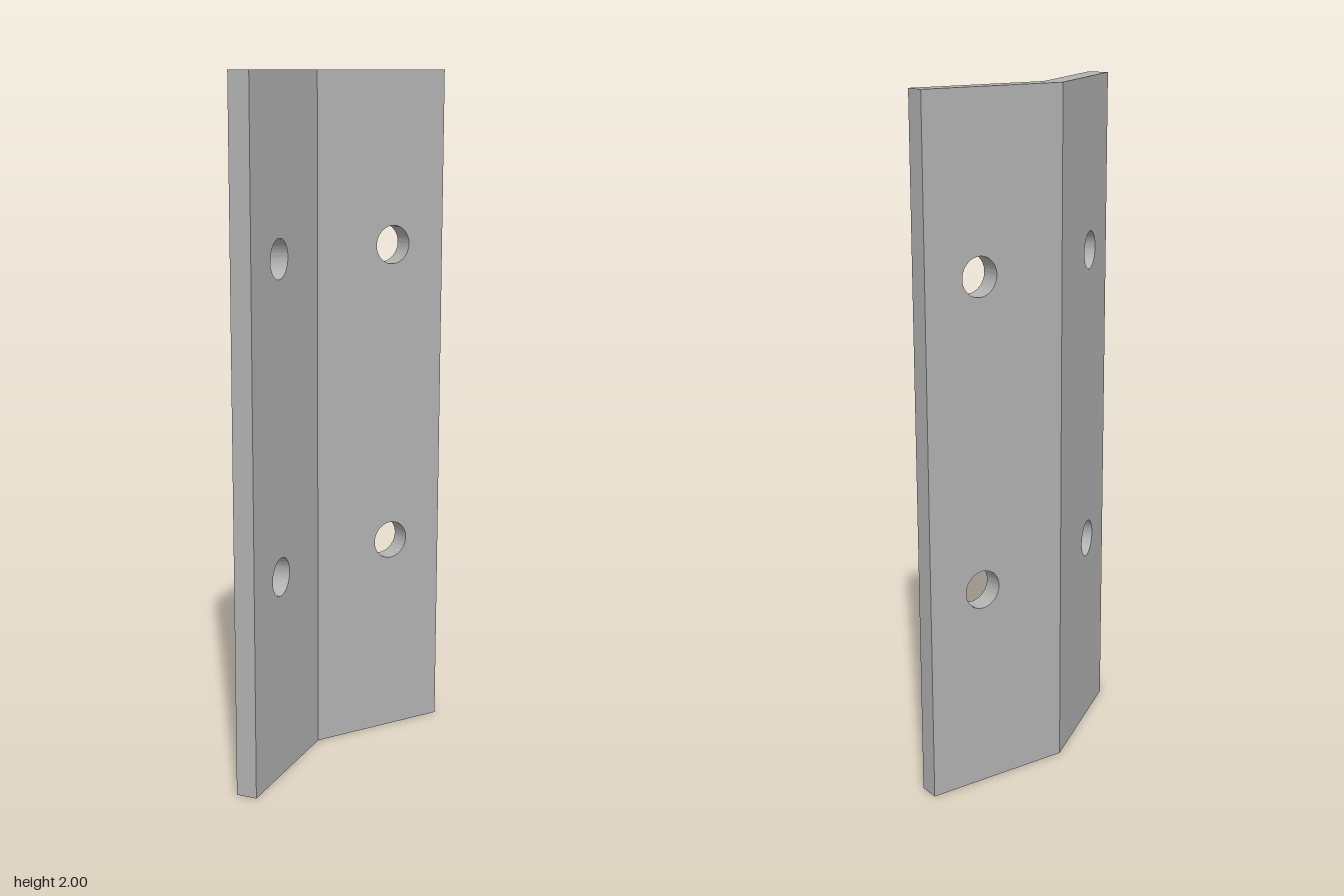
import * as THREE from 'three';
import { toCreasedNormals } from 'three/addons/utils/BufferGeometryUtils.js';

const ANGLE = Math.PI / 10; // tilt of each wing
const THICK = 0.061, LENGTH = 0.43, HEIGHT = 2;
const HOLE_R = 0.056, HOLE_U = 0.256, HOLE_Y = [0.6, 1.5];
const INNER_Z = -0.036; // inside of the bend

// One drilled wing, mitred at the bend; side is +1 (left) or -1 (right)
function wingGeometry(side) {
  const end = side * LENGTH;
  const shape = new THREE.Shape();
  shape.moveTo(0, 0).lineTo(end, 0).lineTo(end, HEIGHT).lineTo(0, HEIGHT).closePath();
  for (const y of HOLE_Y) {
    shape.holes.push(new THREE.Path().absarc(side * HOLE_U, y, HOLE_R, 0, Math.PI * 2));
  }
  const geo = new THREE.ExtrudeGeometry(shape, { depth: THICK, bevelEnabled: false, curveSegments: 40 });
  geo.translate(0, 0, -THICK);

  // Leave out the joint face, and stretch the back edge to the mitre
  const p = geo.attributes.position;
  const kept = [];
  for (let i = 0; i < p.count; i += 3) {
    const corners = [i, i + 1, i + 2];
    if (corners.every((k) => Math.abs(p.getX(k)) < 1e-6)) continue;
    for (const k of corners) {
      const mitre = Math.abs(p.getX(k)) < 1e-6 ? side * p.getZ(k) * Math.tan(ANGLE) : 0;
      kept.push(p.getX(k) + mitre, p.getY(k), p.getZ(k));
    }
  }
  const wing = new THREE.BufferGeometry();
  wing.setAttribute('position', new THREE.Float32BufferAttribute(kept, 3));
  wing.rotateY(-side * ANGLE).translate(0, 0, INNER_Z);
  return toCreasedNormals(wing, 0.5);
}

export function createModel() {
  const group = new THREE.Group();
  group.name = 'bentPlate';
  const steel = new THREE.MeshStandardMaterial({ color: 0xb3b3b3 });
  steel.name = 'steelGrey';
  for (const side of [1, -1]) {
    const wing = new THREE.Mesh(wingGeometry(side), steel);
    wing.name = side > 0 ? 'leftWing' : 'rightWing';
    group.add(wing);
  }
  return group;
}
